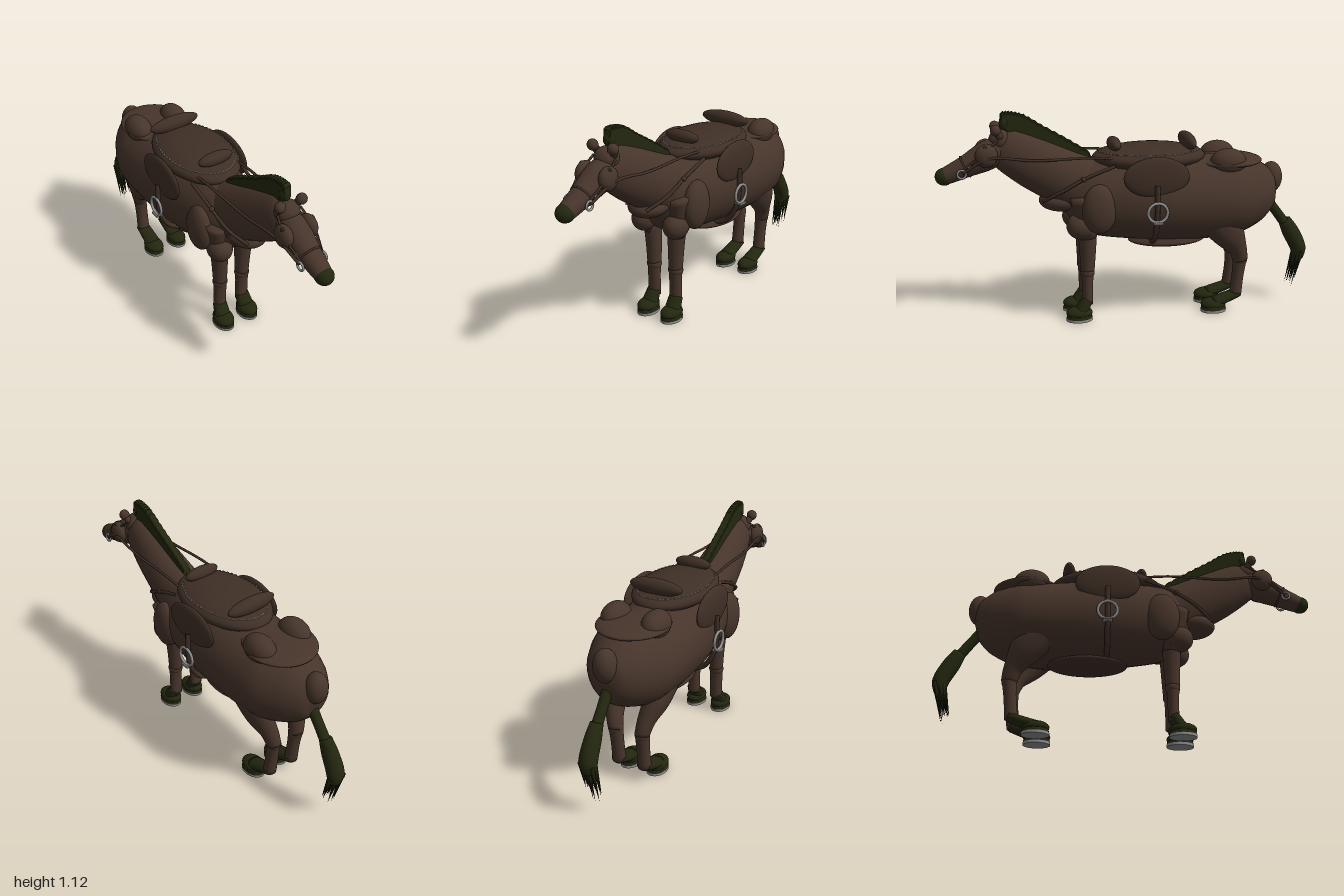
import * as THREE from 'three';

const mat = (name, color, side = THREE.FrontSide) => {
  const m = new THREE.MeshStandardMaterial({ color, side });
  m.name = name;
  return m;
};

export function createModel() {
  const model = new THREE.Group();
  model.name = 'saddledHorse';
  const coat = mat('brown coat', 0x47352b);
  const leather = mat('dark leather', 0x3f2f26);
  const hair = mat('dark green hair', 0x23270f);
  const steel = mat('steel', 0x8e8e8e);

  const add = (name, geo, material, x = 0, y = 0, z = 0) => {
    const mesh = new THREE.Mesh(geo, material);
    mesh.name = name;
    mesh.position.set(x, y, z);
    model.add(mesh);
    return mesh;
  };
  const ball = (name, material, [x, y, z], [rx, ry, rz]) =>
    add(name, new THREE.SphereGeometry(1, 32, 20).scale(rx, ry, rz), material, x, y, z);
  const tube = (name, material, points, r) =>
    add(name, new THREE.TubeGeometry(new THREE.CatmullRomCurve3(points.map(p => new THREE.Vector3(...p))), 40, r, 8), material);

  // Skin of elliptical rings; each section is [x, y, z, halfWidth, halfDepth]
  function loft(name, material, sections, steps = 4, seg = 32) {
    const path = new THREE.CatmullRomCurve3(sections.map(s => new THREE.Vector3(s[0], s[1], s[2])));
    const size = new THREE.CatmullRomCurve3(sections.map(s => new THREE.Vector3(s[3], s[4], 0)));
    const n = (sections.length - 1) * steps;
    const pos = [], index = [];
    for (let i = 0; i <= n; i++) {
      const c = path.getPoint(i / n), r = size.getPoint(i / n), t = path.getTangent(i / n);
      const len = Math.hypot(t.y, t.z);
      for (let j = 0; j < seg; j++) {
        const a = j / seg * Math.PI * 2, d = Math.sin(a) * r.y / len;
        pos.push(c.x + Math.cos(a) * r.x, c.y + d * t.z, c.z - d * t.y);
        if (i < n) {
          const p = i * seg + j, q = i * seg + (j + 1) % seg;
          index.push(p, q, p + seg, q, q + seg, p + seg);
        }
      }
    }
    // End caps
    for (const i of [0, n]) {
      const c = path.getPoint(i / n), k = pos.length / 3;
      pos.push(c.x, c.y, c.z);
      for (let j = 0; j < seg; j++) {
        const p = i * seg + j, q = i * seg + (j + 1) % seg;
        if (i) index.push(k, p, q); else index.push(k, q, p);
      }
    }
    const geo = new THREE.BufferGeometry();
    geo.setAttribute('position', new THREE.Float32BufferAttribute(pos, 3));
    geo.setIndex(index);
    geo.computeVertexNormals();
    return add(name, geo, material);
  }

  // Barrel, from rump to chest
  const barrel = [[-0.8, 0.66, 0.01, 0.01], [-0.775, 0.66, 0.09, 0.1], [-0.7, 0.655, 0.155, 0.17],
    [-0.55, 0.64, 0.225, 0.22], [-0.4, 0.635, 0.235, 0.23], [-0.2, 0.645, 0.235, 0.235],
    [0, 0.655, 0.215, 0.23], [0.2, 0.655, 0.17, 0.205], [0.3, 0.64, 0.12, 0.15], [0.36, 0.63, 0.03, 0.04]];
  loft('barrel', coat, barrel.map(([z, y, rx, ry]) => [0, y, z, rx, ry]));
  ball('chest', coat, [0, 0.65, 0.36], [0.1, 0.06, 0.12]);
  ball('croup', coat, [0, 0.83, -0.52], [0.18, 0.032, 0.19]);
  ball('tailHead', coat, [0, 0.72, -0.775], [0.06, 0.085, 0.06]);
  ball('bellyPad', leather, [0, 0.41, -0.2], [0.13, 0.03, 0.21]);

  // Neck and head
  loft('neck', coat, [[0, 0.65, 0.12, 0.13, 0.19], [0, 0.76, 0.33, 0.12, 0.15], [0, 0.85, 0.5, 0.1, 0.135],
    [0, 0.93, 0.64, 0.072, 0.11], [0, 0.96, 0.7, 0.04, 0.06]]);
  ball('poll', coat, [0, 0.975, 0.665], [0.062, 0.058, 0.06]);
  loft('head', coat, [[0, 0.95, 0.63, 0.05, 0.06], [0, 0.9, 0.73, 0.072, 0.075], [0, 0.842, 0.85, 0.058, 0.055],
    [0, 0.798, 0.95, 0.044, 0.043], [0, 0.79, 0.97, 0.03, 0.03]]);
  ball('muzzle', hair, [0, 0.797, 0.953], [0.046, 0.045, 0.047]);

  // Mane crest with a slightly ragged top
  const mane = new THREE.Shape();
  mane.moveTo(0.6, 1.0);
  mane.lineTo(0.2, 0.85);
  const crest = new THREE.CatmullRomCurve3([[0.22, 0.89], [0.34, 0.965], [0.46, 1.035], [0.55, 1.09], [0.61, 1.105], [0.655, 1.105]]
    .map(([z, y]) => new THREE.Vector3(z, y, 0)));
  crest.getPoints(32).forEach((p, i) => mane.lineTo(p.x, p.y + (i % 2) * 0.006));
  mane.lineTo(0.66, 1.05);
  add('mane', new THREE.ExtrudeGeometry(mane, { depth: 0.016, bevelThickness: 0.014, bevelSize: 0.008, bevelSegments: 2 })
    .translate(0, 0, -0.008).rotateY(-Math.PI / 2), hair);
  ball('forelock', hair, [0, 1.06, 0.645], [0.028, 0.04, 0.025]);

  // Tail: dock, tuft and loose strands
  loft('tailDock', hair, [[0, 0.62, -0.74, 0.03, 0.028], [0, 0.53, -0.81, 0.026, 0.026], [0, 0.43, -0.885, 0.028, 0.028]]);
  loft('tailTuft', hair, [[0, 0.47, -0.865, 0.03, 0.035], [0, 0.4, -0.905, 0.04, 0.046],
    [0, 0.31, -0.95, 0.046, 0.043], [0, 0.25, -0.95, 0.035, 0.03]]);
  for (let i = 0; i < 16; i++) {
    const a = i * 2.4, r = Math.sqrt(i / 16), len = 0.15 + 0.07 * ((i * 7) % 5) / 4;
    const strand = add('tailStrand', new THREE.ConeGeometry(0.012, len, 6).rotateX(Math.PI),
      hair, 0.045 * r * Math.cos(a), 0.3 - len / 2, -0.935 + 0.03 * r * Math.sin(a));
    strand.rotation.x = -0.22;
  }

  // Dark hoof on a thin steel shoe
  const hoof = (x, z) => {
    ball('hoof', hair, [x, 0.042, z], [0.052, 0.034, 0.07]);
    add('hoofWall', new THREE.CylinderGeometry(0.047, 0.052, 0.03, 32).scale(1, 1, 1.34), hair, x, 0.029, z);
    add('horseshoe', new THREE.CylinderGeometry(0.052, 0.052, 0.014, 32).scale(1, 1, 1.36), steel, x, 0.007, z);
  };

  // Paired parts
  for (const s of [1, -1]) {
    // Front leg
    loft('shoulder', coat, [[s * 0.115, 0.69, 0.27, 0.06, 0.06], [s * 0.095, 0.57, 0.25, 0.056, 0.056], [s * 0.078, 0.46, 0.238, 0.046, 0.048]]);
    loft('frontUpperLeg', coat, [[s * 0.078, 0.5, 0.238, 0.048, 0.05], [s * 0.072, 0.38, 0.238, 0.042, 0.043], [s * 0.07, 0.26, 0.24, 0.036, 0.036]]);
    ball('frontKnee', coat, [s * 0.07, 0.265, 0.24], [0.041, 0.034, 0.038]);
    loft('frontCannon', coat, [[s * 0.07, 0.28, 0.241, 0.037, 0.034], [s * 0.07, 0.18, 0.241, 0.035, 0.029], [s * 0.07, 0.09, 0.241, 0.036, 0.029]]);
    loft('frontPastern', hair, [[s * 0.072, 0.115, 0.24, 0.038, 0.03], [s * 0.074, 0.08, 0.26, 0.042, 0.033], [s * 0.077, 0.04, 0.28, 0.046, 0.04]]);
    hoof(s * 0.077, 0.287);
    // Hind leg
    loft('thigh', coat, [[s * 0.12, 0.56, -0.44, 0.08, 0.12], [s * 0.115, 0.44, -0.52, 0.06, 0.085],
      [s * 0.09, 0.35, -0.575, 0.044, 0.05], [s * 0.076, 0.28, -0.595, 0.037, 0.04]]);
    ball('hock', coat, [s * 0.076, 0.285, -0.592], [0.038, 0.042, 0.04]);
    loft('hindCannon', coat, [[s * 0.076, 0.29, -0.592, 0.037, 0.038], [s * 0.074, 0.19, -0.583, 0.034, 0.032], [s * 0.074, 0.085, -0.572, 0.035, 0.034]]);
    loft('hindPastern', hair, [[s * 0.074, 0.095, -0.585, 0.037, 0.025], [s * 0.075, 0.075, -0.53, 0.04, 0.028], [s * 0.077, 0.048, -0.45, 0.045, 0.03]]);
    hoof(s * 0.077, -0.45);
    // Muscles
    ball('shoulderMuscle', coat, [s * 0.16, 0.63, 0.185], [0.055, 0.13, 0.09]);
    ball('breastMuscle', coat, [s * 0.1, 0.53, 0.275], [0.065, 0.07, 0.075]);
    ball('hipMuscle', coat, [s * 0.11, 0.84, -0.5], [0.066, 0.07, 0.095]);
    // Face
    ball('cheek', coat, [s * 0.07, 0.91, 0.74], [0.036, 0.06, 0.057]);
    ball('eye', hair, [s * 0.082, 0.955, 0.745], [0.013, 0.013, 0.015]);
    loft('ear', coat, [[s * 0.04, 0.99, 0.665, 0.02, 0.02], [s * 0.055, 1.02, 0.68, 0.02, 0.018], [s * 0.06, 1.045, 0.69, 0.012, 0.012]]);
    ball('earTip', coat, [s * 0.061, 1.035, 0.69], [0.028, 0.028, 0.026]);
    // Bridle
    add('bitRing', new THREE.TorusGeometry(0.021, 0.006, 8, 24).rotateY(Math.PI / 2), steel, s * 0.067, 0.82, 0.865);
    add('bitBuckle', new THREE.BoxGeometry(0.02, 0.016, 0.016), steel, s * 0.062, 0.858, 0.825);
    tube('rein', leather, [[s * 0.067, 0.825, 0.86], [s * 0.1, 0.9, 0.73], [s * 0.112, 0.885, 0.5], [s * 0.122, 0.89, 0.22], [s * 0.12, 0.87, 0]], 0.007);
    tube('cheekStrap', leather, [[s * 0.062, 0.84, 0.855], [s * 0.08, 0.92, 0.76], [s * 0.065, 0.985, 0.68]], 0.006);
    tube('breastStrap', leather, [[s * 0.15, 0.85, 0.1], [s * 0.14, 0.79, 0.25], [s * 0.118, 0.72, 0.37], [s * 0.06, 0.66, 0.46]], 0.009);
    ball('strapStud', leather, [s * 0.14, 0.785, 0.262], [0.014, 0.014, 0.014]);
    // Saddle flap, girth strap and stirrup
    ball('saddleFlap', leather, [s * 0.207, 0.795, -0.1], [0.026, 0.105, 0.17]);
    tube('girthStrap', leather, [[s * 0.232, 0.76, -0.1], [s * 0.234, 0.66, -0.1], [s * 0.219, 0.55, -0.1], [s * 0.165, 0.46, -0.1], [s * 0.08, 0.415, -0.1]], 0.014);
    add('stirrup', new THREE.TorusGeometry(0.05, 0.008, 10, 36).rotateY(Math.PI / 2), steel, s * 0.245, 0.62, -0.1);
    add('stirrupTread', new THREE.BoxGeometry(0.04, 0.01, 0.05), steel, s * 0.24, 0.567, -0.1);
  }

  // Saddle
  const seat = { y: 0.865, z: -0.1, rx: 0.195, ry: 0.07, rz: 0.3 };
  ball('saddleSeat', leather, [0, seat.y, seat.z], [seat.rx, seat.ry, seat.rz]);
  ball('pommel', leather, [0, 0.935, 0.085], [0.1, 0.035, 0.034]);
  ball('cantle', leather, [0, 0.94, -0.305], [0.145, 0.042, 0.036]);
  // Stitching around the seat
  for (let i = 0; i < 64; i++) {
    const a = i / 64 * Math.PI * 2, k = 0.88;
    const x = seat.rx * k * Math.cos(a), dz = seat.rz * k * Math.sin(a);
    const stitch = add('stitch', new THREE.BoxGeometry(0.004, 0.005, 0.013), steel,
      x, seat.y + seat.ry * Math.sqrt(1 - k * k), seat.z + dz);
    stitch.rotation.y = Math.atan2(-seat.rx * Math.sin(a), seat.rz * Math.cos(a));
  }
  // Noseband
  add('noseband', new THREE.TorusGeometry(0.056, 0.005, 8, 32), leather, 0, 0.845, 0.845).rotation.x = 0.45;

  return model;
}
